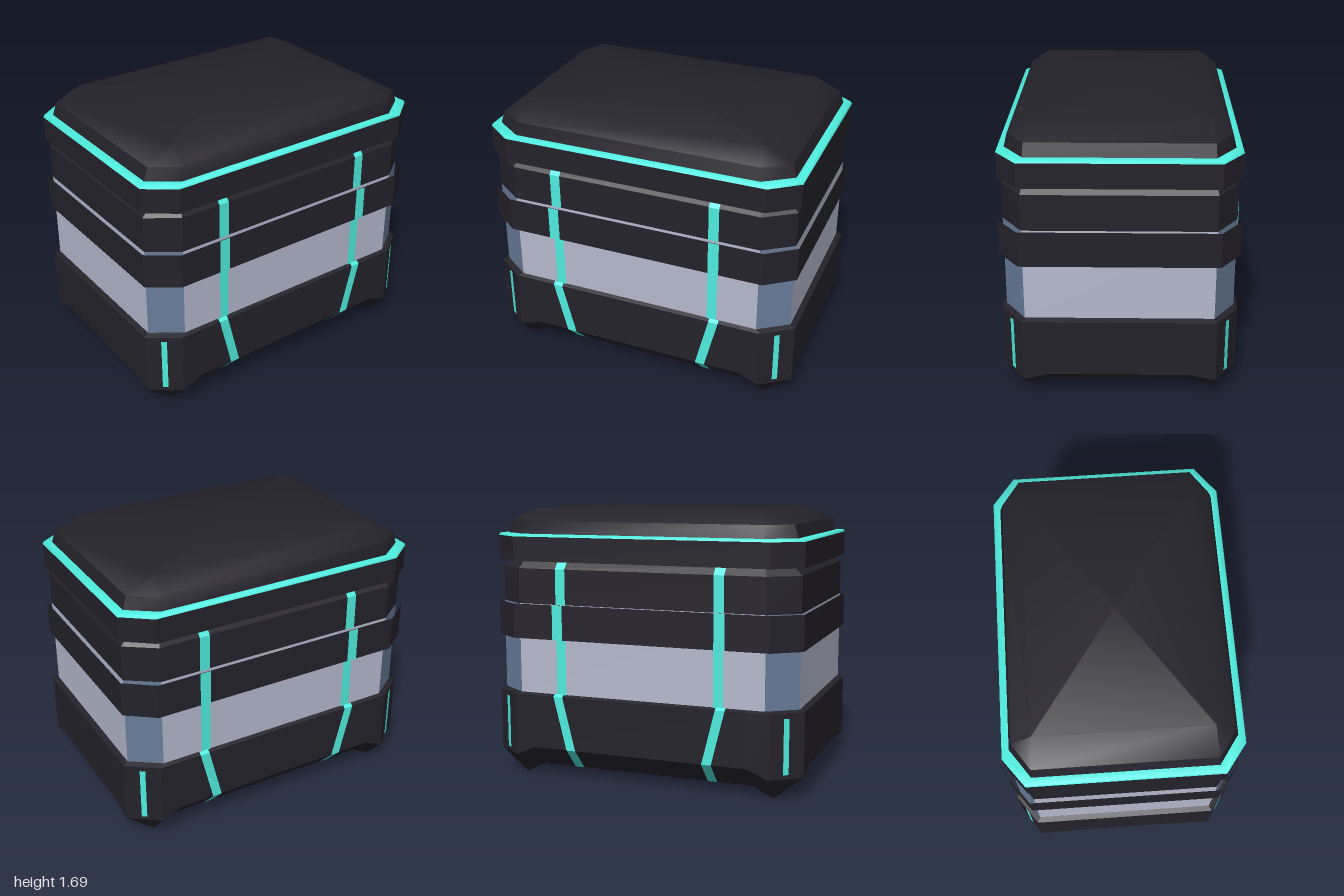
import * as THREE from 'three';
import { toCreasedNormals } from 'three/addons/utils/BufferGeometryUtils.js';

const material = (color, extra = {}) => new THREE.MeshStandardMaterial({ color, flatShading: true, ...extra });
const dark = material(0x24222a);
const darkSmooth = material(0x24222a, { flatShading: false });
const pale = material(0xb5b9cd);
const blue = material(0x687c9a);
const teal = material(0x4eeddf, { side: THREE.DoubleSide });
const tealSmooth = material(0x4eeddf, { flatShading: false });

// Mirrors the points of one quarter (ordered from the side to the front) into a closed ring.
function ring(quarter) {
  return [[1, 1], [-1, 1], [-1, -1], [1, -1]].flatMap(([sx, sz]) => {
    const pts = quarter.map(([x, y, z]) => new THREE.Vector3(sx * x, y, sz * z));
    return sx * sz > 0 ? pts : pts.reverse();
  });
}

// Rectangle with cut corners: half sizes w and d, flats ending at fx and fz.
const octagon = ([y, w, d, fx, fz]) => ring([[w, y, fz], [fx, y, d]]);

function geometryFrom(triangles) {
  const solid = triangles.filter((t) => new THREE.Triangle(...t).getArea() > 1e-7);
  const g = new THREE.BufferGeometry().setFromPoints(solid.flat());
  g.computeVertexNormals();
  return g;
}

// Joins rings from bottom to top, optionally closed at one end; keep chooses which sides are built.
function loft(rings, cap = 'none', keep = () => true) {
  const tris = [];
  const n = rings[0].length;
  const middle = (r) => r.reduce((s, p) => s.add(p), new THREE.Vector3()).divideScalar(n);
  const bottom = rings[0], top = rings[rings.length - 1];
  for (let i = 0; i < n; i++) {
    const j = (i + 1) % n;
    if (keep(i)) {
      for (let k = 0; k + 1 < rings.length; k++) {
        const a = rings[k], b = rings[k + 1];
        tris.push([a[i], b[i], a[j]], [a[j], b[i], b[j]]);
      }
    }
    if (cap === 'bottom') tris.push([middle(bottom), bottom[i], bottom[j]]);
    if (cap === 'top') tris.push([middle(top), top[j], top[i]]);
  }
  return geometryFrom(tris);
}

// Flat strip following [x, y, z] points, with its width along z.
function ribbon(path, width, sx, sz) {
  const tris = [];
  const at = ([x, y, z], e) => new THREE.Vector3(sx * (x + 0.004), y, sz * z + e * width / 2);
  for (let i = 0; i + 1 < path.length; i++) {
    const a = at(path[i], -1), b = at(path[i], 1), c = at(path[i + 1], -1), d = at(path[i + 1], 1);
    tris.push(...(sx > 0 ? [[a, c, b], [b, c, d]] : [[a, b, c], [b, d, c]]));
  }
  return geometryFrom(tris);
}

export function createModel() {
  const model = new THREE.Group();
  model.name = 'crate';
  const add = (name, geometry, mat) => {
    const mesh = new THREE.Mesh(geometry, mat);
    mesh.name = name;
    model.add(mesh);
    return mesh;
  };

  // Base with pointed corner feet and raised lower edges
  const inner = [0.42, 0.067, 0.69];
  add('base', loft([
    ring([inner, inner, inner, inner]),
    ring([[0.57, 0.064, 0.69], [0.57, 0, 0.82], [0.57, 0, 0.82], [0.42, 0.042, 0.82]]),
    ring([[0.7, 0.202, 0.69], [0.7, 0.146, 0.82], [0.57, 0.146, 1], [0.42, 0.182, 1]]),
    ring([[0.7, 0.537, 0.69], [0.7, 0.537, 0.82], [0.57, 0.537, 1], [0.42, 0.537, 1]]),
    ring([[0.677, 0.549, 0.69], [0.677, 0.549, 0.788], [0.553, 0.549, 0.965], [0.42, 0.549, 0.965]]),
  ], 'bottom'), dark);

  // Pale panels with blue corners, running up behind the belt
  const waist = [0.545, 1.108].map((y) => octagon([y, 0.678, 0.966, 0.554, 0.789]));
  add('waistPanels', loft(waist, 'none', (i) => i % 2 === 1), pale);
  add('waistCorners', loft(waist, 'none', (i) => i % 2 === 0), blue);

  // Belt, an open sleeve standing off the panels
  add('belt', loft([0.893, 1.108].map((y) => octagon([y, 0.705, 0.99, 0.578, 0.82]))), dark);

  // Upper body, flaring out under the lid into its rim
  add('upperBody', loft([[1.108, 0.678, 0.966, 0.554, 0.789], [1.326, 0.678, 0.966, 0.554, 0.789],
    [1.373, 0.64, 0.916, 0.54, 0.77]].map(octagon)), dark);
  add('lidRim', loft([[1.371, 0.635, 0.91, 0.538, 0.768], [1.371, 0.698, 0.985, 0.57, 0.815],
    [1.521, 0.698, 0.985, 0.57, 0.815]].map(octagon)), dark);

  // Glowing ledge and softly bevelled lid top
  const ledge = loft([[1.521, 0.698, 0.985, 0.57, 0.815], [1.536, 0.691, 0.978, 0.567, 0.811],
    [1.537, 0.65, 0.93, 0.533, 0.763]].map(octagon));
  add('lidGlowLine', toCreasedNormals(ledge, 1.25), tealSmooth);
  const lid = loft([[1.536, 0.655, 0.935, 0.535, 0.765], [1.614, 0.636, 0.91, 0.53, 0.755],
    [1.692, 0.52, 0.745, 0.515, 0.738]].map(octagon), 'top');
  add('lidTop', toCreasedNormals(lid, 0.65), darkSmooth);

  for (const sx of [1, -1]) {
    for (const sz of [1, -1]) {
      // Glowing strips running down each side and under the base
      const strip = (name, width, ...path) => add(name, ribbon(path, width, sx, sz), teal);
      strip('upperStrip', 0.064, [0.678, 1.108, 0.508], [0.678, 1.326, 0.508], [0.64, 1.373, 0.508]);
      strip('beltStrip', 0.067, [0.705, 0.893, 0.519], [0.705, 1.108, 0.519]);
      strip('waistStrip', 0.061, [0.678, 0.547, 0.507], [0.678, 0.895, 0.507]);
      strip('baseStrip', 0.06, [0.57, 0.064, 0.442], [0.7, 0.202, 0.442], [0.7, 0.537, 0.525],
        [0.68, 0.552, 0.525]);

      // Light bar on each cut corner of the base
      const bar = add('cornerLight', new THREE.BoxGeometry(0.034, 0.335, 0.01), teal);
      bar.position.set(sx * 0.633, 0.339, sz * 0.907);
      bar.rotation.y = Math.atan2(sx * 0.18, sz * 0.13);
    }
  }
  return model;
}
